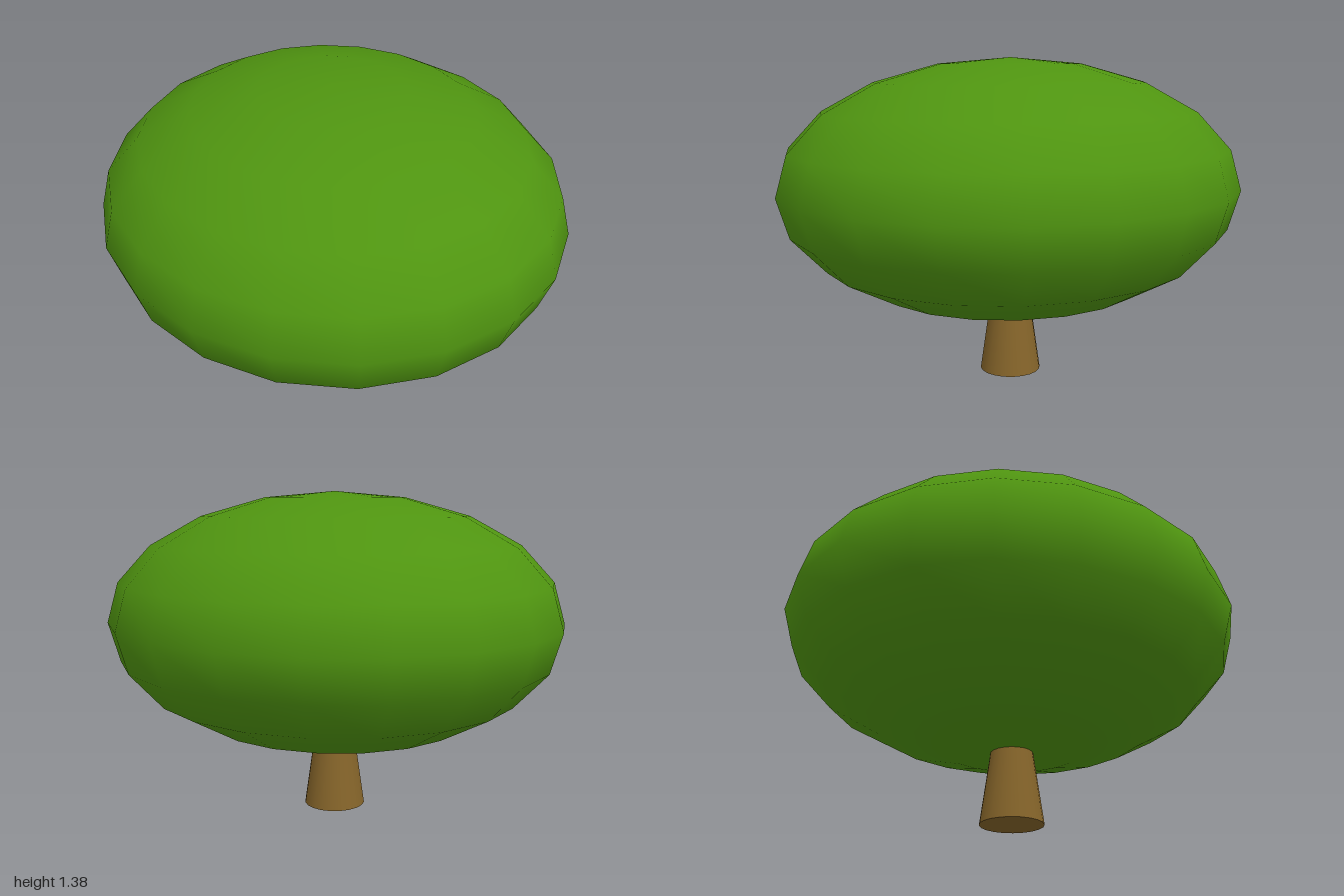
import * as THREE from 'three';

export function createModel() {
  const tree = new THREE.Group();
  tree.name = 'tree';

  const addPart = (name, geometry, color, y) => {
    const mesh = new THREE.Mesh(geometry, new THREE.MeshStandardMaterial({ color }));
    mesh.name = name;
    mesh.position.y = y;
    tree.add(mesh);
    return mesh;
  };

  // Tapered trunk, its top hidden inside the crown
  const trunkHeight = 0.42;
  addPart('trunk', new THREE.CylinderGeometry(0.073, 0.133, trunkHeight, 20), 0x86652a, trunkHeight / 2);

  // Flattened, smooth-shaded leaf crown
  const crown = addPart('crown', new THREE.SphereGeometry(1, 20, 10), 0x4f9410, 0.835);
  crown.scale.set(1, 0.54, 0.953);

  return tree;
}
